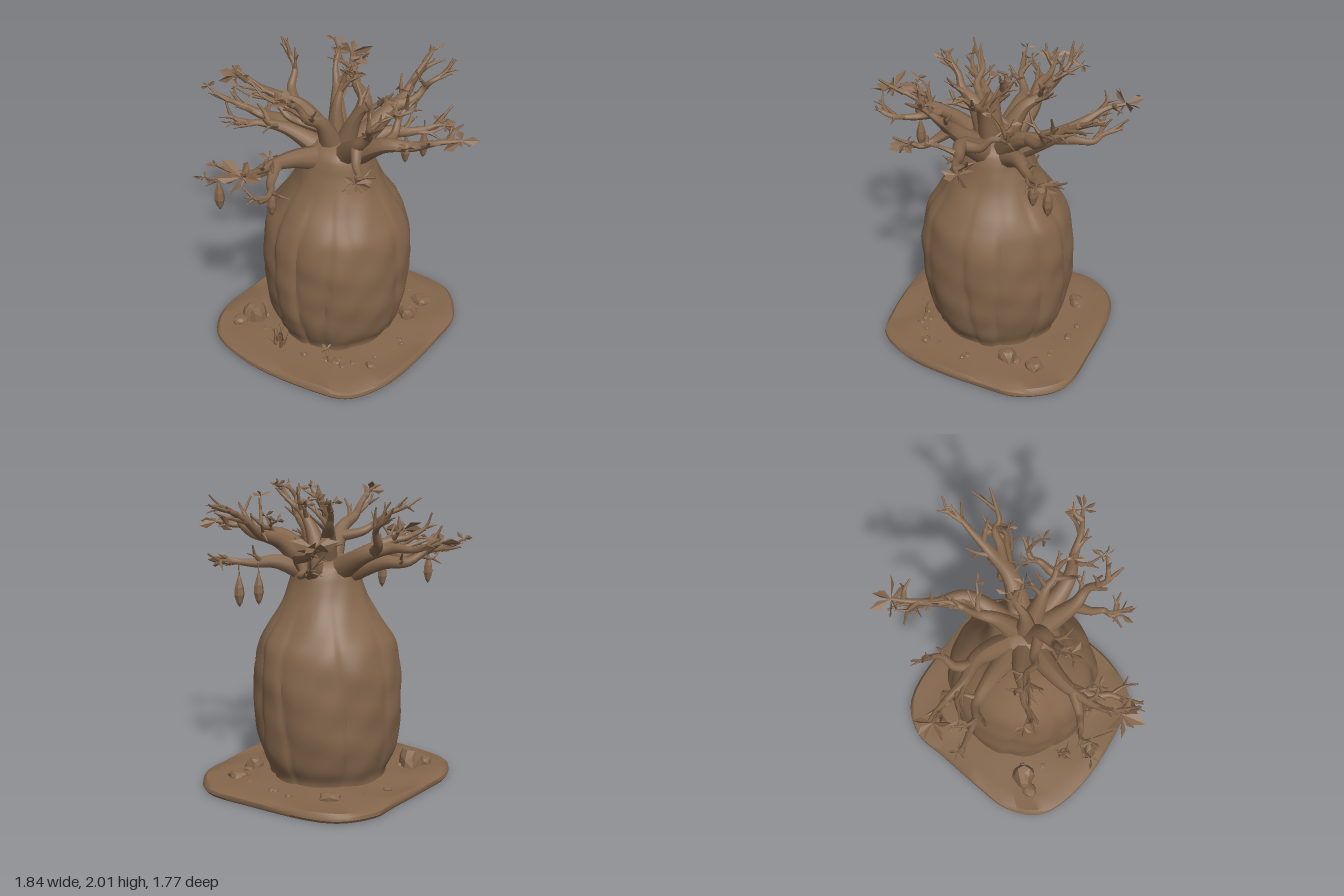
import * as THREE from 'three';
import { toCreasedNormals } from 'three/addons/utils/BufferGeometryUtils.js';

let seed = 11;
const rnd = () => ((seed = (seed * 16807) % 2147483647) / 2147483647);
const spread = (a) => (rnd() * 2 - 1) * a;
const V = (x, y, z) => new THREE.Vector3(x, y, z);

const bark = new THREE.MeshStandardMaterial({ color: 0x84664c, side: THREE.DoubleSide });
bark.name = 'barkBrown';

function add(parent, geometry, name) {
  const mesh = new THREE.Mesh(geometry, bark);
  mesh.name = name;
  parent.add(mesh);
  return mesh;
}
function group(parent, name) {
  const g = new THREE.Group();
  g.name = name;
  parent.add(g);
  return g;
}

// Skin over closed rings of points, listed from bottom to top
function loft(rings) {
  const n = rings[0].length, pos = [], idx = [];
  rings.forEach((ring) => ring.forEach((p) => pos.push(p.x, p.y, p.z)));
  for (let i = 0; i < rings.length - 1; i++) for (let j = 0; j < n; j++) {
    const a = i * n + j, b = i * n + (j + 1) % n;
    idx.push(a, b, a + n, b, b + n, a + n);
  }
  const g = new THREE.BufferGeometry();
  g.setAttribute('position', new THREE.Float32BufferAttribute(pos, 3));
  g.setIndex(idx);
  g.computeVertexNormals();
  return g;
}

function faceted(geometry) {
  const g = geometry.index ? geometry.toNonIndexed() : geometry;
  g.computeVertexNormals();
  return g;
}

// Tube that narrows from r0 to r1
function taperedTube(curve, r0, r1, seg, sides) {
  const g = new THREE.TubeGeometry(curve, seg, 1, sides), p = g.attributes.position, v = V(0, 0, 0);
  for (let i = 0; i <= seg; i++) {
    const t = i / seg, c = curve.getPointAt(t);
    const r = r1 + (r0 - r1) * Math.pow(1 - t, 1.4);
    for (let j = 0; j <= sides; j++) {
      const k = i * (sides + 1) + j;
      v.fromBufferAttribute(p, k).sub(c).multiplyScalar(r).add(c);
      p.setXYZ(k, v.x, v.y, v.z);
    }
  }
  g.computeVertexNormals();
  return g;
}

// Irregular ground slab
function makeGround(parent) {
  const outline = [[-.19, -.785], [-.44, -.66], [-.55, -.46], [-.72, -.145], [-.83, .1], [-.81, .35], [-.55, .58],
    [-.02, .77], [.2, .79], [.44, .6], [.7, .1], [.78, -.145], [.7, -.43], [.39, -.6]].map(([x, z]) => V(x, 0, z));
  const edge = new THREE.CatmullRomCurve3(outline, true).getPoints(88).slice(0, -1);
  const layers = [[0, 0], [.985, 0], [1, .018], [.995, .04], [.97, .055], [.85, .058], [.7, .064], [.5, .075], [0, .075]];
  const rings = layers.map(([s, y], k) => edge.map((p, j) =>
    V(p.x * s, y + (k > 3 && k < 7 ? .006 * Math.sin(j * .43 + k * 2) : 0), p.z * s)));
  add(parent, toCreasedNormals(loft(rings), .7), 'ground');
}

// Swollen trunk with uneven vertical folds
function makeTrunk(parent) {
  const profile = [[.03, .4], [.1, .405], [.2, .45], [.35, .483], [.5, .497], [.65, .5], [.8, .493], [.95, .46],
    [1.05, .405], [1.15, .338], [1.25, .28], [1.35, .242], [1.42, .222], [1.48, .19], [1.53, .11], [1.55, 0]];
  const curve = new THREE.SplineCurve(profile.map(([y, r]) => new THREE.Vector2(r, y)));
  const folds = [-2.75, -2.05, -1.5, -.82, -.35, .08, .45, 1.2, 1.62, 2.2, 2.7];
  const N = 144, rings = [];
  for (let i = 0; i <= 60; i++) {
    const { x: r, y } = curve.getPoint(i / 60), ring = [];
    const fade = THREE.MathUtils.smoothstep(1.4 - y, 0, .6);
    for (let j = 0; j < N; j++) {
      const a = j / N * Math.PI * 2;
      let k = 1;
      folds.forEach((f, n) => {
        const off = a - f - .05 * Math.sin(y * 4 + n * 2);
        const d = Math.atan2(Math.sin(off), Math.cos(off));
        // one flank of each fold is steeper than the other
        const w = d * (n % 2 ? 1 : -1) > 0 ? .04 : .17;
        k -= fade * (.04 + .015 * Math.sin(n * 5)) * Math.exp(-Math.abs(d) / w);
      });
      k += .008 * Math.sin(a * 5 + y * 9) + .006 * Math.sin(a * 11 - y * 17) + .005 * Math.sin(y * 26 + a * 3);
      const cx = -.035 + .02 * y / 1.5, cz = .01 + .025 * y / 1.5;
      ring.push(V(cx + Math.sin(a) * r * k, y, cz + Math.cos(a) * r * k * 1.02));
    }
    rings.push(ring);
  }
  add(parent, toCreasedNormals(loft(rings), .6), 'trunk');
}

// Pointed leaf along +y, folded at the midrib
function leafGeometry(len) {
  const w = len * .24, b = len * .08;
  const g = new THREE.BufferGeometry();
  g.setAttribute('position', new THREE.Float32BufferAttribute([
    0, 0, 0, 0, len, 0, -w, len * .6, b, 0, 0, 0, w, len * .6, b, 0, len, 0], 3));
  g.computeVertexNormals();
  return g;
}
function leafCluster(parent, at, dir, n, len) {
  const g = group(parent, 'leafCluster');
  for (let i = 0; i < n; i++) {
    const a = i / n * Math.PI * 2 + spread(.3);
    const d = V(Math.cos(a), spread(.45), Math.sin(a)).addScaledVector(dir, .5).normalize();
    const leaf = add(g, leafGeometry(len * (.8 + rnd() * .4)), 'leaf');
    leaf.position.copy(at);
    leaf.quaternion.setFromUnitVectors(V(0, 1, 0), d);
    leaf.rotateY(spread(1));
  }
}

// Kinked twig with a side shoot
function twig(parent, at, dir, len, r) {
  const bend = V(spread(.7), .3 + spread(.5), spread(.7));
  const mid = at.clone().addScaledVector(dir, len * .5);
  const end = mid.clone().addScaledVector(dir.clone().add(bend).normalize(), len * .5);
  end.y = Math.min(end.y, 1.96 + spread(.03));
  add(parent, taperedTube(new THREE.CatmullRomCurve3([at, mid, end]), r, .006, 6, 6), 'twig');
  const tip = mid.clone().addScaledVector(dir.clone().sub(bend).normalize(), len * .4);
  tip.y = Math.min(tip.y, 1.94 + spread(.04));
  add(parent, taperedTube(new THREE.LineCurve3(mid, tip), r * .7, .003, 3, 5), 'shoot');
  return end;
}

// Crooked limb through a bend to its tip, with twigs and end leaves
function limb(parent, start, bend, tip, r, twigs, leaves) {
  const g = group(parent, 'branch');
  const knees = [.35, .7].map((t) => bend.clone().lerp(tip, t).add(V(spread(.03), spread(.025), spread(.03))));
  const curve = new THREE.CatmullRomCurve3([start, bend, ...knees, tip], false, 'centripetal');
  add(g, taperedTube(curve, r, .012, 24, 9), 'limb');
  for (let i = 0; i < twigs; i++) {
    const t = .55 + .42 * (i + .5) / twigs;
    const d = curve.getTangentAt(t).add(V(spread(1.1), .3 + spread(.5), spread(1.1))).normalize();
    const end = twig(g, curve.getPointAt(t), d, .14 + rnd() * .08, .011 + r * .11);
    if (rnd() < .22) leafCluster(g, end, d, 4, .065);
  }
  const dir = curve.getTangentAt(1);
  if (leaves) leafCluster(g, tip, dir, leaves, .03 + leaves * .0135);
  else twig(g, tip, dir, .06, .012);
  return curve;
}

function makeBranches(parent) {
  // main limbs out of the crown: bend xyz, tip xyz, leaves
  const mains = [
    [.08, 1.57, -.36, -.09, 1.7, -.78, 7], [.25, 1.63, -.12, .48, 1.88, -.52, 0], [.28, 1.5, -.12, .6, 1.51, -.28, 5],
    [.32, 1.62, .23, .77, 1.7, .22, 6], [.16, 1.65, .31, .3, 1.88, .51, 0], [-.24, 1.47, .26, -.45, 1.6, .72, 8],
    [-.4, 1.51, -.1, -.84, 1.62, -.14, 0], [-.3, 1.57, -.2, -.78, 1.68, -.34, 6], [-.33, 1.57, .08, -.6, 1.66, .22, 0],
    [-.03, 1.68, .04, .01, 1.92, -.06, 0], [-.1, 1.69, .17, -.26, 1.91, .36, 4], [-.06, 1.68, -.14, -.1, 1.9, -.36, 0],
    [.1, 1.7, .1, .3, 1.9, .16, 0],
  ];
  const curves = mains.map(([bx, by, bz, x, y, z, leaves]) =>
    limb(parent, V(bx * .1 - .01, 1.38, bz * .1 + .03), V(bx, by, bz), V(x, y, z), .1, 4, leaves));
  // side limbs: parent limb, place along it, tip xyz, leaves
  const forks = [
    [0, .4, -.03, 1.54, -.72, 0], [1, .5, .6, 1.85, -.3, 0], [3, .45, .42, 1.75, -.06, 0], [4, .5, .2, 1.55, .58, 5],
    [5, .55, -.32, 1.49, .79, 0], [5, .6, -.64, 1.47, .57, 0], [7, .5, -.46, 1.84, -.45, 0], [10, .4, -.48, 1.82, .14, 0],
  ];
  forks.forEach(([from, t, x, y, z, leaves]) => {
    const start = curves[from].getPointAt(t), tip = V(x, y, z);
    const bend = start.clone().lerp(tip, .4).add(V(0, -.04, 0));
    limb(parent, start, bend, tip, .042, 3, leaves);
  });
}

// Hanging spindle pods: x, bottom y, z, stalk top y
function makePods(parent) {
  const shape = [[.001, 0], [.02, .03], [.034, .08], [.029, .13], [.014, .18], [.004, .21]];
  const pod = faceted(new THREE.LatheGeometry(shape.map(([x, y]) => new THREE.Vector2(x, y)), 6));
  [[-.64, 1.25, .58, 1.47], [-.325, 1.22, .54, 1.48], [.38, 1.23, -.21, 1.5], [.485, 1.23, -.3, 1.51]].forEach(([x, y, z, top]) => {
    add(parent, pod, 'pod').position.set(x, y, z);
    add(parent, taperedTube(new THREE.LineCurve3(V(x, y + .19, z), V(x, top, z)), .005, .005, 1, 5), 'podStalk');
  });
}

function makeRocks(parent) {
  const rock = (x, z, w, h, d) => {
    const g = new THREE.IcosahedronGeometry(1, 1), p = g.attributes.position;
    const s = rnd() * 6;
    // flat-topped stone, its buried half kept inside the slab
    for (let i = 0; i < p.count; i++) {
      const k = 1 + .13 * Math.sin(p.getX(i) * 4 + s) + .1 * Math.sin(p.getZ(i) * 5 + p.getY(i) * 3 + s);
      const y = Math.min(p.getY(i) * k, .75 + .1 * p.getX(i)) * h;
      p.setXYZ(i, p.getX(i) * k * w, Math.max(y, -.03), p.getZ(i) * k * d);
    }
    const m = add(parent, faceted(g), 'rock');
    m.position.set(x, .06, z);
    m.rotation.y = spread(.5);
  };
  [[-.58, .17, .09, .15, .08], [-.67, .23, .05, .05, .05], [-.14, -.53, .065, .05, .05], [.46, -.06, .07, .09, .06],
    [.53, -.24, .08, .05, .06], [.3, .5, .04, .03, .03]].forEach((r) => rock(...r));
  for (let i = 0; i < 22; i++) {
    const a = rnd() * Math.PI * 2, r = .47 + rnd() * .1, s = .012 + rnd() * .016;
    rock(Math.sin(a) * r - .03, Math.cos(a) * r, s * 1.3, s, s);
  }
}

// Grass tuft and small sprout at the foot of the trunk
function makeGrass(parent) {
  for (let i = 0; i < 16; i++) {
    const blade = add(parent, new THREE.ConeGeometry(.008, .1 + rnd() * .07, 3).translate(0, .06, 0), 'grassBlade');
    blade.position.set(-.35 + spread(.04), .06, .42 + spread(.04));
    blade.rotation.set(spread(.5), 0, spread(.5));
  }
  const tip = twig(parent, V(.02, .06, .52), V(-.1, 1, .1).normalize(), .1, .01);
  leafCluster(parent, tip, V(0, 1, 0), 5, .05);
}

export function createModel() {
  seed = 11;
  const tree = new THREE.Group();
  tree.name = 'bottleTree';
  makeGround(tree);
  makeTrunk(tree);
  makeBranches(group(tree, 'branches'));
  makePods(group(tree, 'pods'));
  makeRocks(group(tree, 'rocks'));
  makeGrass(group(tree, 'grass'));
  return tree;
}
